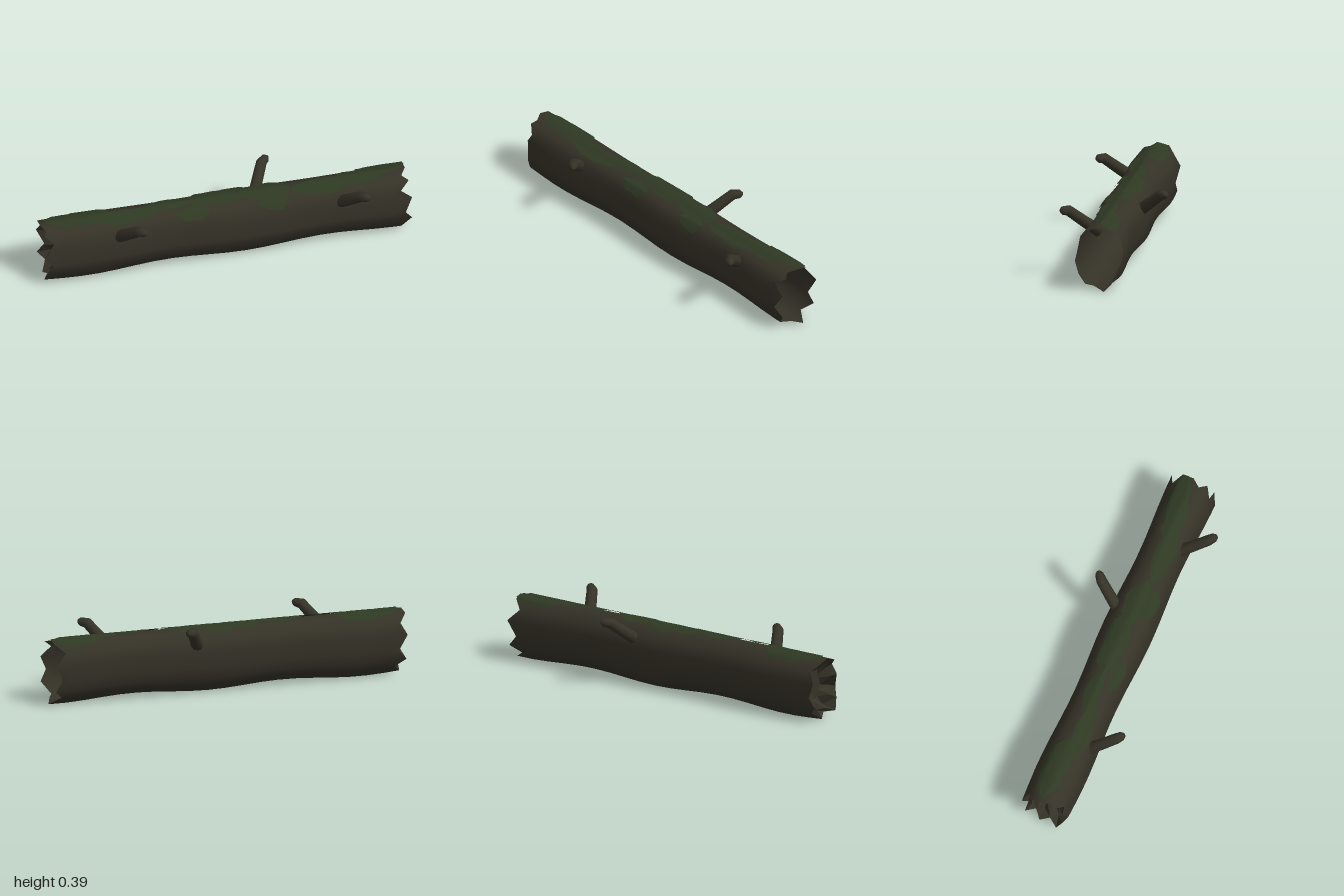
import * as THREE from 'three';

const bark = new THREE.MeshStandardMaterial({ color: 0x353227, side: THREE.DoubleSide });
bark.name = 'darkBark';
const moss = new THREE.MeshStandardMaterial({ color: 0x2e3923, side: THREE.DoubleSide });
moss.name = 'mossGreen';

// Log cross-section as [z, y], starting at the top and going round by the front
const PROFILE = [
  [0, 0.345], [0.04, 0.328], [0.075, 0.318], [0.105, 0.28], [0.108, 0.23], [0.128, 0.155],
  [0.105, 0.10], [0.078, 0.038], [0.03, 0.036], [-0.025, 0.012], [-0.06, 0.048], [-0.105, 0.09],
  [-0.10, 0.14], [-0.122, 0.225], [-0.095, 0.285], [-0.06, 0.33],
];
const N = PROFILE.length;
const MID = 0.18;

// Broken rim: x of every profile point at each end
const RIGHT_RIM = [-1, -0.98, -0.99, -0.95, -0.98, -0.955, -0.98, -0.995, -0.95, -0.98, -0.94, -0.99, -0.95, -0.99, -0.96, -1];
const LEFT_RIM = [0.98, 0.95, 0.98, 0.93, 0.99, 0.95, 0.99, 0.94, 0.97, 1, 0.94, 0.99, 0.95, 0.99, 0.93, 0.98];

function randomizer(seed) {
  return () => (seed = (seed * 16807) % 2147483647) / 2147483647;
}

// Point on the log at length x and profile position t, scaled about the core
function logPoint(x, t, scale = 1, lift = 0) {
  const i = Math.floor(t), f = t - i;
  const a = PROFILE[((i % N) + N) % N], b = PROFILE[(((i + 1) % N) + N) % N];
  const z = a[0] + (b[0] - a[0]) * f, y = a[1] + (b[1] - a[1]) * f - MID;
  const wave = 1 + 0.06 * Math.cos((x - 0.1) * 7.4);
  const r = Math.hypot(z, y);
  const k = scale + lift / r;
  return new THREE.Vector3(x, MID + y * k * (y < 0 ? wave : 1), z * k * wave);
}

// Skin through cross-sections with equal point counts
function loft(rings, closed = true) {
  const n = rings[0].length, index = [];
  for (let i = 0; i < rings.length - 1; i++) {
    for (let j = 0; j < (closed ? n : n - 1); j++) {
      const a = i * n + j, c = i * n + (j + 1) % n;
      index.push(a, c, a + n, c, c + n, a + n);
    }
  }
  const geometry = new THREE.BufferGeometry().setFromPoints(rings.flat());
  geometry.setIndex(index);
  geometry.computeVertexNormals();
  return geometry;
}

function trunkGeometry() {
  const rings = [PROFILE.map((p, j) => logPoint(RIGHT_RIM[j], j))];
  for (let i = 0; i <= 18; i++) {
    const x = -0.9 + i * 0.1;
    rings.push(PROFILE.map((p, j) => logPoint(x, j)));
  }
  rings.push(PROFILE.map((p, j) => logPoint(LEFT_RIM[j], j)));
  return loft(rings);
}

// Splintered heartwood closing one end, faceted
function heartwoodGeometry() {
  const ring = (scale, x, jag) => PROFILE.map((p, j) =>
    logPoint(x + (j % 2 ? jag : -jag), j, scale + (j % 3 - 1) * 0.04 * Math.sign(scale)));
  const center = PROFILE.map(() => new THREE.Vector3(-0.9, MID, 0));
  const geometry = loft([
    center, ring(0.5, -0.9, 0), ring(0.8, -0.94, 0.02),
    PROFILE.map((p, j) => logPoint(RIGHT_RIM[j], j, 0.99)),
  ]).toNonIndexed();
  geometry.computeVertexNormals();
  return geometry;
}

// Tapered stub with a bent tip; side = 1 front, -1 back
function branchGeometry(shift, side) {
  const path = [
    [0.0, 0.235, 0.06, 0], [0.0, 0.235, 0.06, 0.034], [0.045, 0.30, 0.14, 0.031],
    [0.088, 0.362, 0.212, 0.029], [0.115, 0.366, 0.236, 0.023], [0.126, 0.364, 0.244, 0.012], [0.129, 0.362, 0.246, 0],
  ];
  const pts = path.map(([x, y, z]) => new THREE.Vector3(x + shift, y, z * side));
  const axis = new THREE.Vector3(1, 0, 0);
  return loft(pts.map((p, i) => {
    const from = pts[i < 2 ? 1 : i - 1], to = pts[i < 2 ? 2 : Math.min(i + 1, pts.length - 1)];
    const turn = new THREE.Quaternion().setFromUnitVectors(axis, to.clone().sub(from).normalize());
    return Array.from({ length: 10 }, (_, j) => {
      const a = j / 10 * Math.PI * 2;
      return new THREE.Vector3(0, Math.cos(a), Math.sin(a)).multiplyScalar(path[i][3]).applyQuaternion(turn).add(p);
    });
  }));
}

// Ragged thin patch following the top of the log
function mossGeometry(x0, x1, t0, t1, random) {
  const steps = Math.max(4, Math.round((x1 - x0) / 0.05));
  const rings = [];
  for (let i = 0; i <= steps; i++) {
    const u = i / steps;
    const width = 0.3 + 0.7 * Math.pow(Math.sin(Math.PI * u), 0.5);
    const mid = (t0 + t1) / 2, half = (t1 - t0) / 2 * width;
    const lo = mid - half * (0.75 + 0.4 * random()), hi = mid + half * (0.75 + 0.4 * random());
    rings.push(Array.from({ length: 9 }, (_, j) =>
      logPoint(x0 + (x1 - x0) * u, lo + (hi - lo) * j / 8, 1, 0.008)));
  }
  return loft(rings, false);
}

export function createModel() {
  const model = new THREE.Group();
  model.name = 'fallenLog';
  const add = (name, geometry, material) => {
    const mesh = new THREE.Mesh(geometry, material);
    mesh.name = name;
    model.add(mesh);
  };

  add('trunk', trunkGeometry(), bark);
  add('heartwood', heartwoodGeometry(), bark);

  // Broken branches
  add('frontRightBranch', branchGeometry(-0.61, 1), bark);
  add('frontLeftBranch', branchGeometry(0.6, 1), bark);
  add('backBranch', branchGeometry(0.17, -1), bark);

  // Moss: start x, end x, and span around the profile (negative is the back)
  const random = randomizer(77);
  [
    [-0.97, -0.62, -1.6, 1], [-0.7, -0.38, -0.3, 2], [-0.45, -0.18, -0.8, 1], [-0.28, -0.1, 0.8, 3],
    [-0.2, 0.15, -1.3, 1.2], [0.1, 0.35, -1, 1.6], [0.17, 0.33, 1, 3.1], [0.36, 0.68, -0.4, 2.2],
    [0.6, 0.85, -0.9, 1.4], [0.72, 0.98, -1.7, 0.4],
  ].forEach((patch, i) => add('mossPatch' + (i + 1), mossGeometry(...patch, random), moss));

  return model;
}
